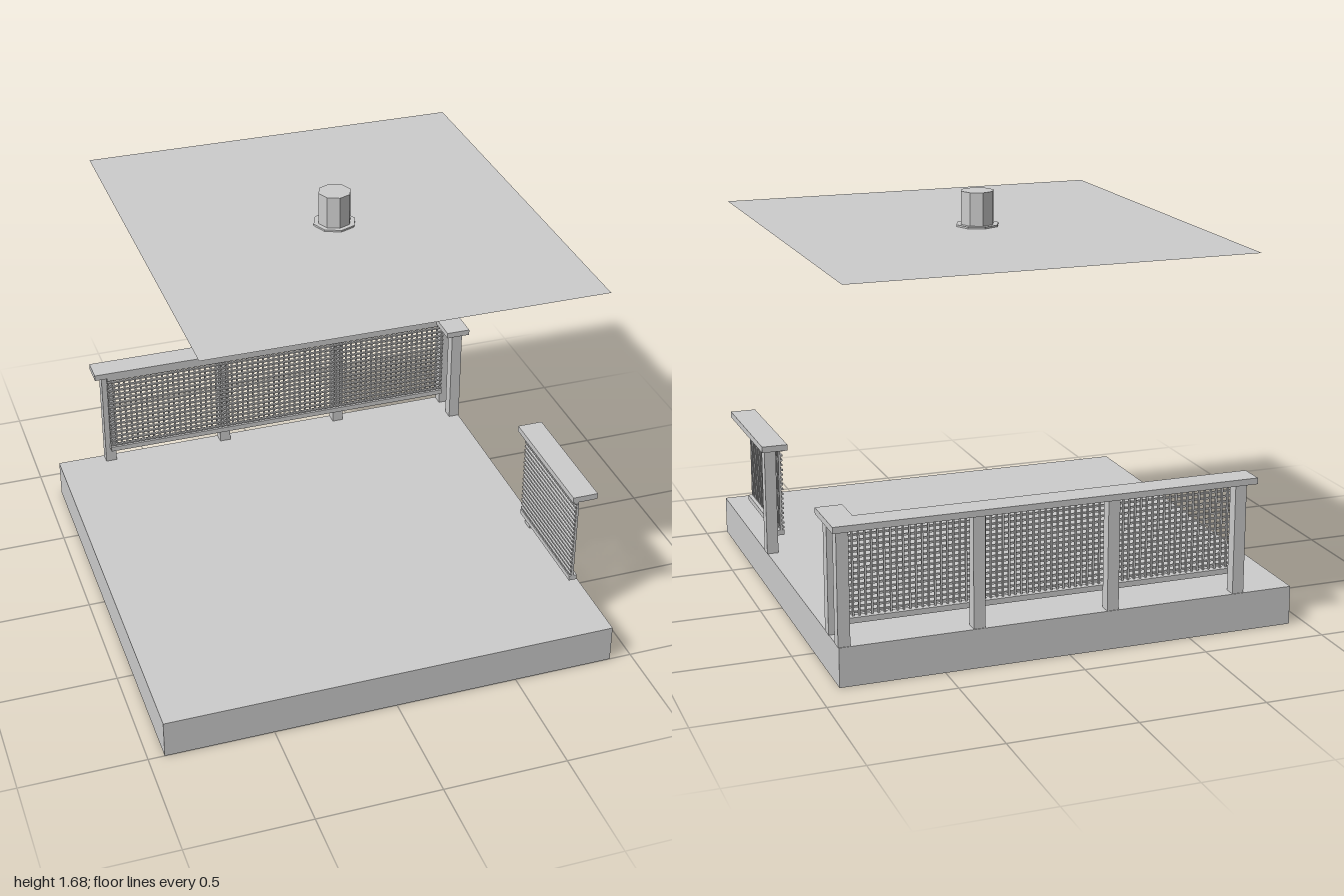
import * as THREE from 'three';
import { mergeGeometries } from 'three/addons/utils/BufferGeometryUtils.js';

const grey = new THREE.MeshStandardMaterial({ color: 0xcccccc, flatShading: true });
const greyOpen = new THREE.MeshStandardMaterial({ color: 0xcccccc, flatShading: true, side: THREE.DoubleSide });

// Box given by its extents along each axis
function boxGeo([x0, x1], [y0, y1], [z0, z1]) {
  return new THREE.BoxGeometry(x1 - x0, y1 - y0, z1 - z0)
    .translate((x0 + x1) / 2, (y0 + y1) / 2, (z0 + z1) / 2);
}

function add(parent, name, geometry, material = grey) {
  const mesh = new THREE.Mesh(geometry, material);
  mesh.name = name;
  parent.add(mesh);
  return mesh;
}

// Woven wire panel running along x from a to b; uprights behind, level wires in front
function wireGeo(a, b, y0, y1, z) {
  const t = 0.007, d = 0.009, parts = [];
  const cols = Math.round((b - a) / 0.0245), rows = Math.round((y1 - y0) / 0.0225);
  for (let i = 0; i <= cols; i++) {
    const x = a + t / 2 + (i / cols) * (b - a - t);
    parts.push(boxGeo([x - t / 2, x + t / 2], [y0, y1], [z - d, z]));
  }
  for (let j = 0; j <= rows; j++) {
    const y = y0 + ((j + 0.5) / (rows + 1)) * (y1 - y0);
    parts.push(boxGeo([a, b], [y - t / 2, y + t / 2], [z, z + d]));
  }
  return mergeGeometries(parts);
}

export function createModel() {
  const model = new THREE.Group();
  model.name = 'terrace';
  const floorY = 0.157, railY = [0.605, 0.63], lowY = [0.225, 0.247], postY = [floorY, 0.605];

  add(model, 'floorSlab', boxGeo([-0.935, 0.91], [0, floorY], [-0.85, 1]));

  // Back railing with its short return at the corner
  const back = new THREE.Group();
  back.name = 'backRailing';
  model.add(back);
  for (const x of [-0.73, -0.2, 0.34, 0.865]) {
    add(back, 'backPost', boxGeo([x, x + 0.047], postY, [-0.847, -0.8]));
  }
  add(back, 'cornerReturnPost', boxGeo([0.865, 0.912], postY, [-0.718, -0.67]));
  add(back, 'backHandrail', boxGeo([-0.765, 0.93], railY, [-0.87, -0.765]));
  add(back, 'cornerHandrail', boxGeo([0.825, 0.93], railY, [-0.765, -0.63]));
  add(back, 'backBottomRail', boxGeo([-0.71, 0.862], lowY, [-0.8, -0.767]));
  add(back, 'backTopStrip', boxGeo([-0.71, 0.862], [0.59, 0.605], [-0.785, -0.767]));
  add(back, 'backWirePanel', wireGeo(-0.71, 0.862, lowY[1], 0.59, -0.776));

  // Short railing on the left side
  const side = new THREE.Group();
  side.name = 'sideRailing';
  model.add(side);
  add(side, 'sidePost', boxGeo([0.865, 0.912], postY, [0.22, 0.267]));
  add(side, 'sideHandrail', boxGeo([0.825, 0.93], railY, [0.18, 0.737]));
  add(side, 'sideBottomRail', boxGeo([0.832, 0.865], lowY, [0.24, 0.74]));
  add(side, 'sideTopStrip', boxGeo([0.832, 0.85], [0.598, 0.605], [0.24, 0.737]));
  const panel = wireGeo(0.24, 0.74, lowY[1], 0.598, -0.841).rotateY(-Math.PI / 2);
  add(side, 'sideWirePanel', panel);

  // Thin flat roof with an eight-sided opening under the vent
  const vx = 0.115, vz = -0.13, roofY = 1.541;
  const ring = (r) => Array.from({ length: 8 }, (_, i) => new THREE.Vector2(
    vx + r * Math.cos(i * Math.PI / 4), -vz + r * Math.sin(i * Math.PI / 4)));
  const sheet = new THREE.Shape([
    new THREE.Vector2(-0.68, -0.737), new THREE.Vector2(0.912, -0.737),
    new THREE.Vector2(0.912, 1), new THREE.Vector2(-0.68, 1)]);
  sheet.holes.push(new THREE.Path(ring(0.066)));
  add(model, 'roofSheet', new THREE.ShapeGeometry(sheet).rotateX(-Math.PI / 2).translate(0, roofY, 0), greyOpen);

  // Capped roof vent, open underneath, with a flange at its foot
  const vent = new THREE.Group();
  vent.name = 'roofVent';
  vent.position.set(vx, 0, vz);
  model.add(vent);
  const profile = [[0.066, roofY], [0.087, roofY + 0.001], [0.087, 1.549], [0.067, 1.549], [0.067, 1.68], [0, 1.68]]
    .map(([r, y]) => new THREE.Vector2(r, y));
  add(vent, 'ventBody', new THREE.LatheGeometry(profile, 8), greyOpen);
  add(vent, 'ventInside', new THREE.CylinderGeometry(0.066, 0.066, 1.678 - roofY, 8, 1, true)
    .translate(0, (1.678 + roofY) / 2, 0), greyOpen);

  return model;
}
